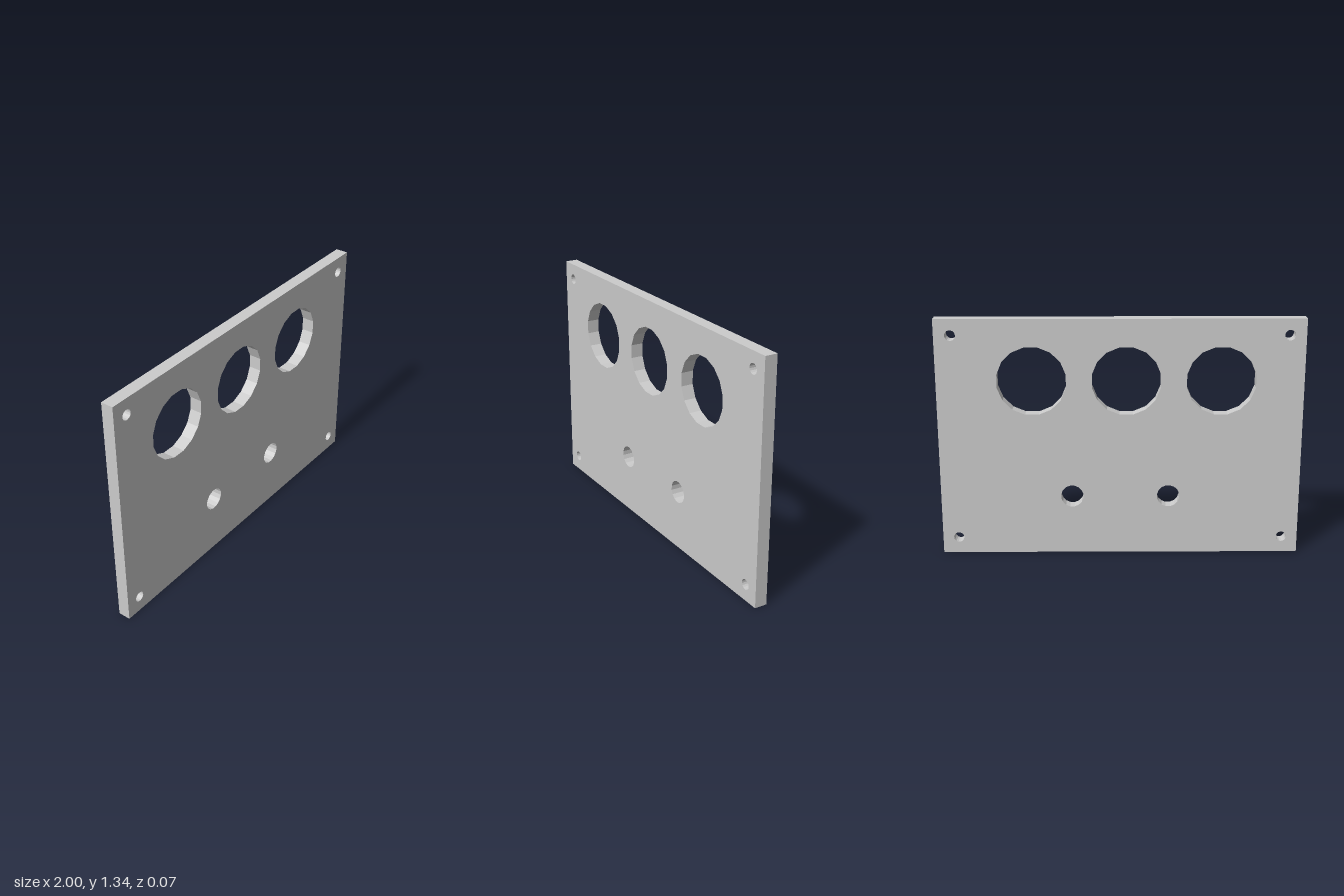
import * as THREE from 'three';

const WIDTH = 2, HEIGHT = 1.343, DEPTH = 0.07, SIDES = 16;

// Faceted round hole with flats at its top, bottom and sides
function hole(x, y, radius) {
  const points = [];
  for (let i = 0; i < SIDES; i++) {
    const a = -((i + 0.5) / SIDES) * Math.PI * 2;
    points.push(new THREE.Vector2(x + radius * Math.cos(a), y + radius * Math.sin(a)));
  }
  return new THREE.Path(points);
}

export function createModel() {
  const group = new THREE.Group();
  group.name = 'mountingPanel';

  // Rectangular outline
  const w = WIDTH / 2;
  const outline = new THREE.Shape([
    new THREE.Vector2(-w, 0), new THREE.Vector2(w, 0),
    new THREE.Vector2(w, HEIGHT), new THREE.Vector2(-w, HEIGHT),
  ]);

  // Row of three large openings
  for (const x of [-0.55, -0.034, 0.482]) outline.holes.push(hole(x, 1, 0.191));

  // Lower pair and the four corner screw holes
  for (const side of [-1, 1]) {
    outline.holes.push(hole(side * 0.268, 0.338, 0.063));
    for (const y of [0.092, 1.253]) outline.holes.push(hole(side * 0.911, y, 0.029));
  }

  const geometry = new THREE.ExtrudeGeometry(outline, { depth: DEPTH, bevelEnabled: false });
  geometry.translate(0, 0, -DEPTH / 2);
  const plate = new THREE.Mesh(
    geometry,
    new THREE.MeshStandardMaterial({ color: 0xcccccc, flatShading: true }),
  );
  plate.name = 'drilledPlate';
  group.add(plate);
  return group;
}
